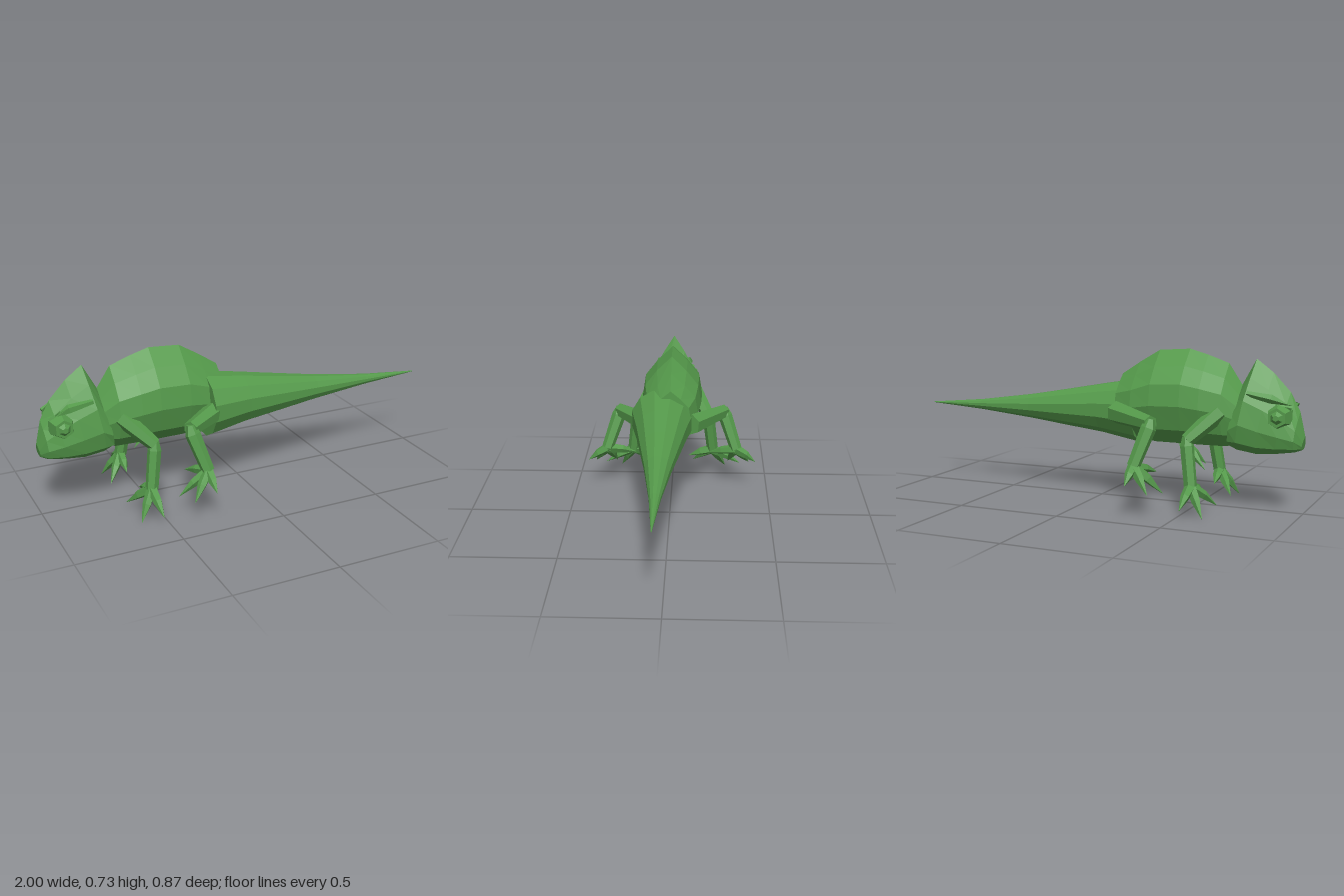
import * as THREE from 'three';

const V = (x, y, z) => new THREE.Vector3(x, y, z);

// Skins a row of equal-sized rings and closes both ends; faces are turned outward by signed volume.
function loft(rings) {
  const tris = [], n = rings[0].length;
  for (let i = 0; i < rings.length - 1; i++) {
    for (let j = 0; j < n; j++) {
      const k = (j + 1) % n, a = rings[i], b = rings[i + 1];
      tris.push([a[j], b[j], b[k]], [a[j], b[k], a[k]]);
    }
  }
  const centre = r => r.reduce((s, p) => s.add(p), V(0, 0, 0)).divideScalar(n);
  const first = rings[0], last = rings[rings.length - 1];
  const c0 = centre(first), c1 = centre(last);
  for (let j = 0; j < n; j++) {
    const k = (j + 1) % n;
    tris.push([c0, first[j], first[k]], [c1, last[k], last[j]]);
  }
  const volume = tris.reduce((s, [a, b, c]) =>
    s + a.clone().sub(c0).dot(b.clone().sub(c0).cross(c.clone().sub(c0))), 0);
  const pos = [];
  for (const [a, b, c] of tris) {
    for (const p of volume < 0 ? [a, c, b] : [a, b, c]) pos.push(p.x, p.y, p.z);
  }
  const g = new THREE.BufferGeometry();
  g.setAttribute('position', new THREE.Float32BufferAttribute(pos, 3));
  g.computeVertexNormals();
  return g;
}

// Symmetric slices along x: [bottom x, top x, bottom y, top y, half width]
function slices(profile, rows) {
  const outline = [...profile, ...profile.filter(p => p[0] > 0).reverse().map(([w, h]) => [-w, h])];
  return loft(rows.map(([xb, xt, yb, yt, hw]) =>
    outline.map(([w, h]) => V(xb + (xt - xb) * h, yb + (yt - yb) * h, w * hw))));
}

// Faceted limb through points with a radius at each
function limb(points, radii, sides = 6) {
  return loft(points.map((p, i) => {
    const t = points[Math.min(i + 1, points.length - 1)].clone()
      .sub(points[Math.max(i - 1, 0)]).normalize();
    const ref = Math.abs(t.x) > 0.9 ? V(0, 1, 0) : V(1, 0, 0);
    const u = ref.cross(t).normalize(), w = t.clone().cross(u);
    return Array.from({ length: sides }, (_, j) => {
      const a = (j / sides) * Math.PI * 2;
      return p.clone().addScaledVector(u, Math.cos(a) * radii[i]).addScaledVector(w, Math.sin(a) * radii[i]);
    });
  }));
}

export function createModel() {
  const model = new THREE.Group();
  model.name = 'lizard';
  const skin = new THREE.MeshStandardMaterial({ color: 0x559a4b, flatShading: true });
  skin.name = 'green skin';
  const add = (name, geometry, parent = model) => {
    const mesh = new THREE.Mesh(geometry, skin);
    mesh.name = name;
    parent.add(mesh);
    return mesh;
  };

  // Body with a ridged back
  add('body', slices(
    [[0, 1], [0.5, 0.83], [0.9, 0.65], [1, 0.42], [0.78, 0.16], [0.32, 0]],
    [
      [-0.72, -0.71, 0.31, 0.57, 0.09],
      [-0.64, -0.64, 0.295, 0.675, 0.135],
      [-0.54, -0.54, 0.295, 0.71, 0.15],
      [-0.45, -0.45, 0.295, 0.735, 0.155],
      [-0.3, -0.3, 0.295, 0.725, 0.15],
      [-0.2, -0.2, 0.31, 0.665, 0.135],
      [-0.11, -0.11, 0.36, 0.605, 0.10],
    ]));

  // Head rising to a pointed crest
  add('head', slices(
    [[0, 1], [0.42, 0.8], [0.85, 0.56], [1, 0.3], [0.85, 0.1], [0.4, 0]],
    [
      [-0.99, -1, 0.297, 0.36, 0.035],
      [-0.96, -0.975, 0.288, 0.47, 0.08],
      [-0.88, -0.93, 0.277, 0.555, 0.1],
      [-0.79, -0.85, 0.27, 0.64, 0.11],
      [-0.7, -0.77, 0.285, 0.7, 0.13],
      [-0.66, -0.7, 0.3, 0.57, 0.115],
    ]));

  // Tail, slightly off the midline, tapering to a point
  const tailRows = [[-0.2, 0.43, 0.157], [0, 0.43, 0.122], [0.2, 0.422, 0.092],
    [0.4, 0.415, 0.062], [0.7, 0.407, 0.026], [1, 0.402, 0.002]];
  add('tail', loft(tailRows.map(([x, y, r]) => Array.from({ length: 12 }, (_, j) => {
    const a = ((j + 0.5) / 12) * Math.PI * 2;
    return V(x, y + r * Math.sin(a), 0.04 + r * 1.04 * Math.cos(a));
  }))));

  // Legs: joints from body to ankle, then toe tips
  const legs = [
    {
      name: 'frontLeg',
      joints: [[-0.63, 0.46, 0.1], [-0.505, 0.335, 0.19], [-0.535, 0.13, 0.215]],
      radii: [0.045, 0.032, 0.03],
      toes: [[-0.535, 0.05, 0.363], [-0.615, 0.003, 0.285], [-0.625, 0.03, 0.108], [-0.55, 0.085, 0.085]],
    },
    {
      name: 'hindLeg',
      joints: [[-0.12, 0.43, 0.1], [-0.36, 0.415, 0.268], [-0.305, 0.225, 0.335]],
      radii: [0.055, 0.036, 0.03],
      toes: [[-0.305, 0.155, 0.435], [-0.4, 0.115, 0.405], [-0.432, 0.105, 0.295], [-0.36, 0.18, 0.187]],
    },
  ];

  for (const side of [1, -1]) {
    const at = ([x, y, z]) => V(x, y, z * side);
    for (const { name, joints, radii, toes } of legs) {
      const leg = new THREE.Group();
      leg.name = name;
      model.add(leg);
      const [root, knee, ankle] = joints.map(at);
      add('upperLeg', limb([root, knee], [radii[0], radii[1]]), leg);
      add('lowerLeg', limb([knee.clone().add(V(0, 0.02, 0)), knee.clone().lerp(ankle, 0.12), ankle],
        [0.02, radii[1], radii[2]]), leg);
      for (const toe of toes) {
        const tip = at(toe);
        const middle = ankle.clone().lerp(tip, 0.5).add(V(0, 0.005, 0));
        add('toe', limb([ankle, middle, tip], [0.026, 0.021, 0.001], 5), leg);
      }
    }

    // Turret eye: a six-sided lid with a small eyeball
    const eye = new THREE.Group();
    eye.name = 'eye';
    eye.position.set(-0.895, 0.45, side * 0.085);
    eye.rotation.x = side * Math.PI / 2;
    model.add(eye);
    const lid = add('eyelid', new THREE.CylinderGeometry(0.044, 0.066, 0.06, 6), eye);
    lid.position.y = -0.005;
    const ball = add('eyeball', new THREE.CylinderGeometry(0.014, 0.032, 0.02, 6), eye);
    ball.position.y = 0.033;

    // Brow ridge running from the eye to the crest
    add('browRidge', limb([at([-0.95, 0.49, 0.06]), at([-0.86, 0.53, 0.078]), at([-0.75, 0.55, 0.085])],
      [0.012, 0.022, 0.012], 5));
  }
  return model;
}
